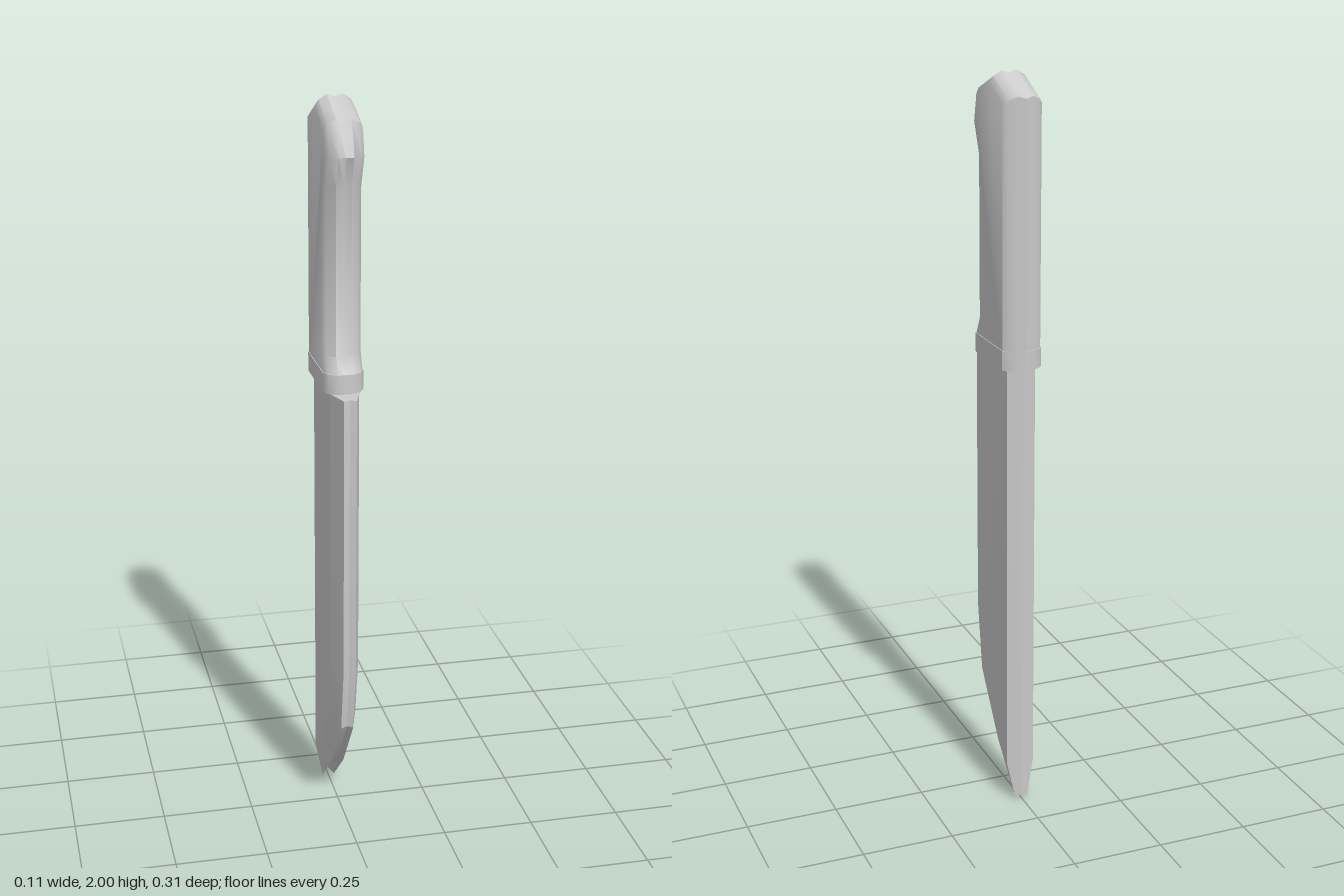
import * as THREE from 'three';
import { toCreasedNormals } from 'three/addons/utils/BufferGeometryUtils.js';

// Skins a mirrored stack of side outlines. Each layer is { x, pts: [[z, y], ...] },
// listed from the middle (x = 0) outward, with points counter-clockwise.
function layered(name, layers, crease) {
  const mirrored = layers.slice(1).reverse().map(l => ({ x: -l.x, pts: l.pts }));
  const all = [...mirrored, ...layers];
  const n = layers[0].pts.length;
  const positions = [];
  const index = [];
  for (const l of all) for (const [z, y] of l.pts) positions.push(l.x, y, z);
  for (let k = 0; k < all.length - 1; k++) {
    for (let i = 0; i < n; i++) {
      const j = (i + 1) % n;
      const a = k * n + i, b = (k + 1) * n + i, c = k * n + j, d = (k + 1) * n + j;
      index.push(a, b, c, b, d, c);
    }
  }
  // flat side faces
  const contour = all[0].pts.map(([z, y]) => new THREE.Vector2(z, y));
  const last = (all.length - 1) * n;
  for (const [a, b, c] of THREE.ShapeUtils.triangulateShape(contour, [])) {
    index.push(a, b, c, last + a, last + c, last + b);
  }
  const geo = new THREE.BufferGeometry();
  geo.setAttribute('position', new THREE.Float32BufferAttribute(positions, 3));
  geo.setIndex(index);
  const mesh = new THREE.Mesh(
    toCreasedNormals(geo, crease),
    new THREE.MeshStandardMaterial({ color: 0xcccccc, side: THREE.DoubleSide })
  );
  mesh.name = name;
  return mesh;
}

export function createModel() {
  const knife = new THREE.Group();
  knife.name = 'knife';

  // Blade: shallow groove along the cutting edge, bevel, flat cheek, ridged spine
  knife.add(layered('blade', [
    { x: 0, pts: [[-0.138, 1.25], [-0.138, 0.02], [0, 0.127], [0.12, 0.293], [0.149, 0.48], [0.149, 1.25]] },
    { x: 0.017, pts: [[-0.131, 1.25], [-0.131, 0], [0, 0.12], [0.125, 0.29], [0.155, 0.48], [0.155, 1.25]] },
    { x: 0.039, pts: [[-0.12, 1.25], [-0.12, 0.11], [-0.04, 0.18], [0.055, 0.31], [0.085, 0.47], [0.085, 1.25]] },
  ], 0.3));

  // Handle: ridged rim, rounded shoulder, flat grip sides and a peaked butt
  knife.add(layered('handle', [
    { x: 0, pts: [[-0.153, 1.3], [0.098, 1.3], [0.075, 1.345], [0.076, 1.79], [0.102, 1.865],
      [0.072, 1.95], [-0.035, 1.994], [-0.153, 1.945]] },
    { x: 0.02, pts: [[-0.144, 1.3], [0.098, 1.3], [0.075, 1.345], [0.076, 1.79], [0.105, 1.865],
      [0.075, 1.955], [-0.035, 2.0], [-0.144, 1.95]] },
    { x: 0.042, pts: [[-0.134, 1.3], [0.083, 1.3], [0.058, 1.345], [0.058, 1.785], [0.09, 1.863],
      [0.068, 1.945], [-0.035, 1.987], [-0.134, 1.94]] },
    { x: 0.052, pts: [[-0.122, 1.3], [0.066, 1.3], [0.04, 1.35], [0.04, 1.78], [0.074, 1.86],
      [0.058, 1.93], [-0.035, 1.965], [-0.122, 1.93]] },
  ], 0.65));

  // Collar where the grip meets the blade
  const band = (x, back, front) => ({ x, pts: [[back, 1.25], [front, 1.25], [front, 1.302], [back, 1.302]] });
  knife.add(layered('collar', [
    band(0, -0.155, 0.1),
    band(0.02, -0.147, 0.1),
    band(0.043, -0.136, 0.085),
    band(0.054, -0.122, 0.066),
  ], 0.65));

  return knife;
}
